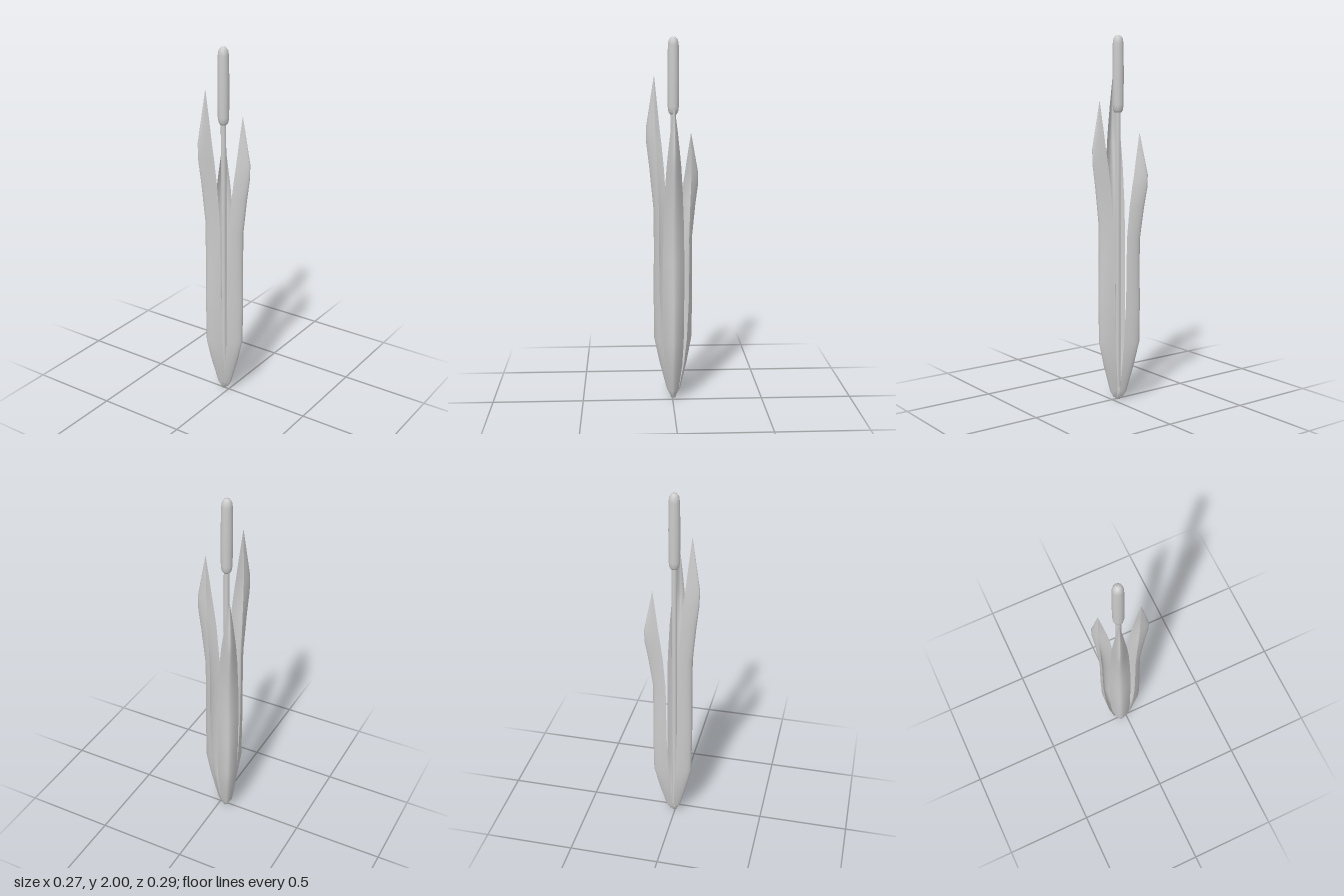
import * as THREE from 'three';

const grey = new THREE.MeshStandardMaterial({ color: 0xcccccc, side: THREE.DoubleSide });

// Leaf cross-sections: height, keel distance, edge distance, half width
const rows = [
  [0.015, 0.022, 0.012, 0.006], [0.05, 0.042, 0.015, 0.03], [0.2, 0.085, 0.036, 0.049],
  [0.34, 0.118, 0.05, 0.056], [0.6, 0.12, 0.062, 0.058], [0.8, 0.117, 0.064, 0.058],
  [1.0, 0.119, 0.065, 0.055], [1.2, 0.143, 0.077, 0.047], [1.32, 0.161, 0.088, 0.039],
  [1.4, 0.163, 0.096, 0.031], [1.5, 0.144, 0.103, 0.02], [1.65, 0.116, 0.114, 0.001],
];

// One curved face of a leaf; depth < 1 gives the shallower inner face
function leafFace(height, depth, inner) {
  const steps = 14, n = steps + 1, pos = [], index = [];
  const stretch = (height - 0.34) / (1.65 - 0.34);
  rows.forEach(([y, keel, edge, w], j) => {
    for (let i = 0; i < n; i++) {
      const t = (i / steps) * 2 - 1;
      const bulge = 1 - Math.pow(Math.abs(t), 1.7);
      pos.push(edge + (keel - edge) * depth * bulge, y > 0.34 ? 0.34 + (y - 0.34) * stretch : y, w * t);
      if (j < rows.length - 1 && i < steps) {
        const a = j * n + i, b = a + n;
        if (inner) index.push(a, a + 1, b, b, a + 1, b + 1);
        else index.push(a, b, a + 1, b, b + 1, a + 1);
      }
    }
  });
  const geo = new THREE.BufferGeometry();
  geo.setAttribute('position', new THREE.Float32BufferAttribute(pos, 3));
  geo.setIndex(index);
  geo.computeVertexNormals();
  return geo;
}

function makeLeaf(name, height, degrees, x, z) {
  const leaf = new THREE.Group();
  leaf.name = name;
  const outer = new THREE.Mesh(leafFace(height, 1, false), grey);
  outer.name = 'leafOuterFace';
  const inner = new THREE.Mesh(leafFace(height, 0.68, true), grey);
  inner.name = 'leafInnerFace';
  leaf.add(outer, inner);
  leaf.position.set(x, 0, z);
  leaf.rotation.y = -THREE.MathUtils.degToRad(degrees);
  return leaf;
}

function makeLathe(name, profile, sides) {
  const pts = profile.map(([r, y]) => new THREE.Vector2(r, y));
  const mesh = new THREE.Mesh(new THREE.LatheGeometry(pts, sides), grey);
  mesh.name = name;
  mesh.position.set(-0.037, 0, -0.005);
  return mesh;
}

export function createModel() {
  const group = new THREE.Group();
  group.name = 'reedPlant';

  // Thin stalk with a small flared foot
  group.add(makeLathe('stalk', [[0, 0], [0.013, 0], [0.023, 0.035], [0.021, 0.055], [0.016, 0.08],
    [0.015, 0.8], [0.015, 1.6]], 10));

  // Rounded seed head
  group.add(makeLathe('seedHead', [[0, 1.588], [0.018, 1.59], [0.026, 1.602], [0.03, 1.63], [0.031, 1.8],
    [0.029, 1.955], [0.025, 1.98], [0.015, 1.996], [0, 2]], 12));

  // Three keeled leaves spread around the stalk
  group.add(makeLeaf('leftLeaf', 1.65, 0, -0.03, -0.004));
  group.add(makeLeaf('frontLeaf', 1.79, 114, -0.032, -0.008));
  group.add(makeLeaf('backLeaf', 1.48, -122, -0.044, -0.008));
  return group;
}
